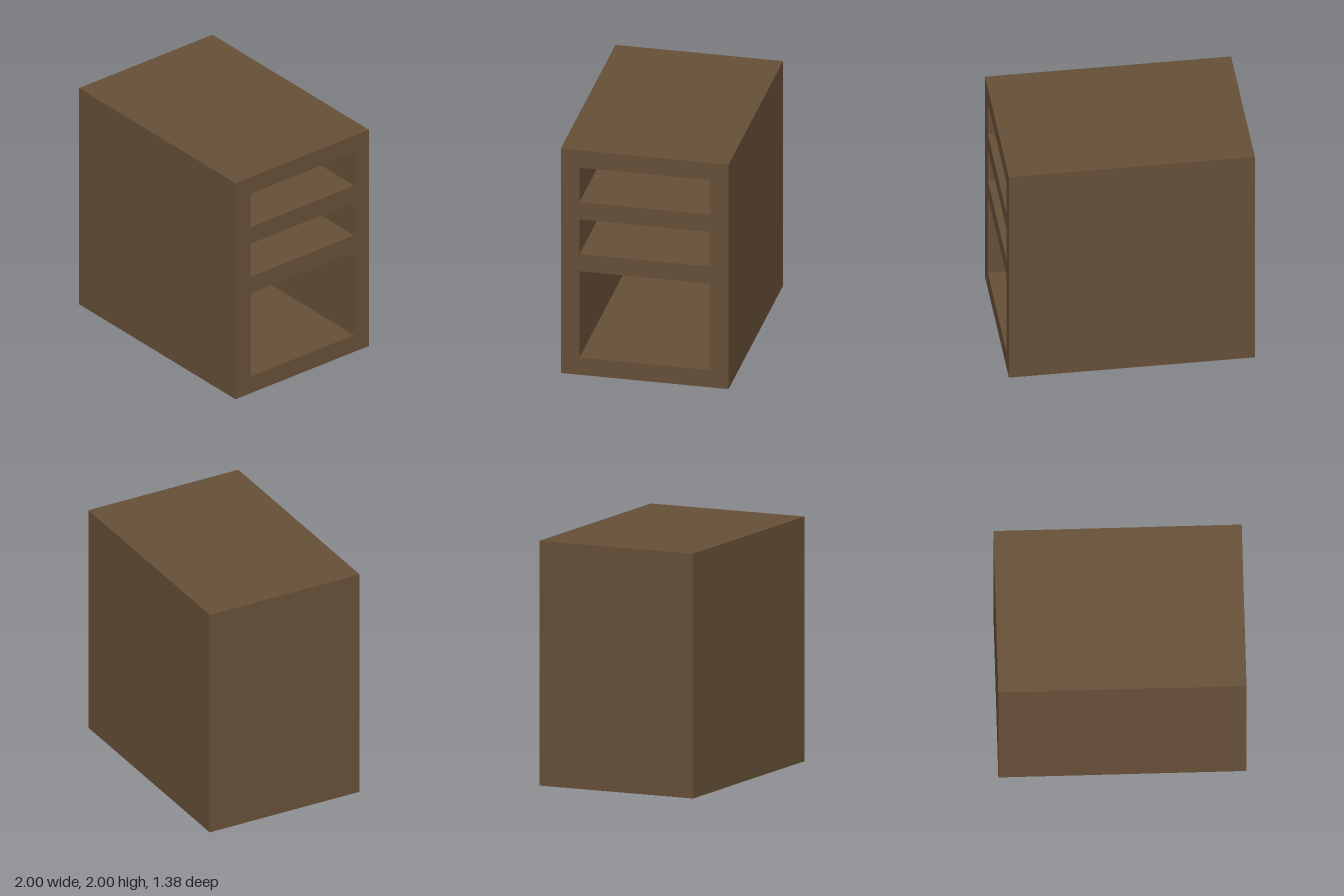
import * as THREE from 'three';

const U = 2 / 13;            // board thickness, the unit of the whole design
const W = 2, H = 2, D = 9 * U;
const INNER_D = 7 * U;       // opening width along z
const INNER_W = W - U;       // compartment depth along x

// Compartments from bottom to top: [floor height, height]
const COMPARTMENTS = [
  ['lowerCompartment', U, 5 * U],
  ['middleCompartment', 7 * U, 2 * U],
  ['upperCompartment', 10 * U, 2 * U],
];

// Box with one face left out (0 = +x, 1 = -x)
function openBox(w, h, d, missingFace) {
  const geo = new THREE.BoxGeometry(w, h, d);
  const index = Array.from(geo.index.array);
  index.splice(missingFace * 6, 6);
  geo.setIndex(index);
  geo.clearGroups();
  return geo;
}

export function createModel() {
  const group = new THREE.Group();
  group.name = 'shelfCabinet';
  const wood = new THREE.MeshStandardMaterial({ color: 0x664f37 });
  const add = (name, geo) => {
    const mesh = new THREE.Mesh(geo, wood);
    mesh.name = name;
    group.add(mesh);
  };

  // Outer carcass, open on the +x side
  add('carcass', openBox(W, H, D, 0).translate(0, H / 2, 0));

  // Face frame on the +x side, with one hole per compartment
  const frame = new THREE.Shape([
    new THREE.Vector2(-D / 2, 0), new THREE.Vector2(D / 2, 0),
    new THREE.Vector2(D / 2, H), new THREE.Vector2(-D / 2, H),
  ]);
  const z = INNER_D / 2;
  for (const [name, y, h] of COMPARTMENTS) {
    frame.holes.push(new THREE.Path([
      new THREE.Vector2(-z, y), new THREE.Vector2(-z, y + h),
      new THREE.Vector2(z, y + h), new THREE.Vector2(z, y),
    ]));

    // Compartment lining: mirrored in x so its faces look inward
    const lining = openBox(INNER_W, h, INNER_D, 1).scale(-1, 1, 1);
    lining.computeVertexNormals();
    add(name, lining.translate(W / 2 - INNER_W / 2, y + h / 2, 0));
  }
  add('faceFrame', new THREE.ShapeGeometry(frame).rotateY(Math.PI / 2).translate(W / 2, 0, 0));

  return group;
}
